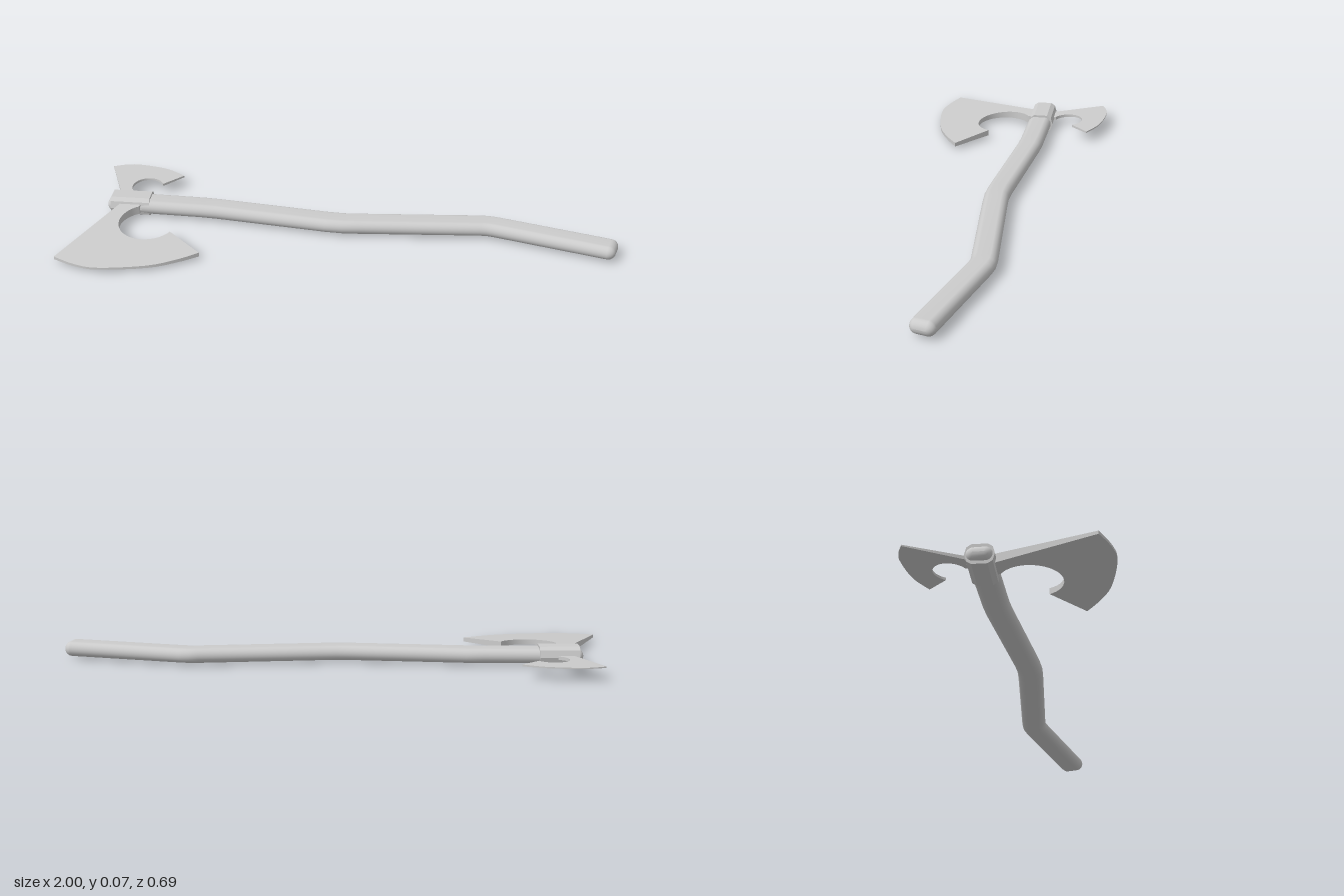
import * as THREE from 'three';
import { toCreasedNormals } from 'three/addons/utils/BufferGeometryUtils.js';

const material = new THREE.MeshStandardMaterial({ color: 0xcccccc });

function part(name, geometry) {
  const mesh = new THREE.Mesh(geometry, material);
  mesh.name = name;
  return mesh;
}

// Handle: a flattened round section swept along a bent path in the xz plane
function handleGeometry() {
  const flat = 0.0185, radius = 0.0275, height = 0.0355, sides = 24;
  const path = [[-0.888, -0.089], [-0.7, -0.082], [-0.53, -0.077], [-0.47, -0.072], [-0.06, -0.022], [0, -0.018],
    [0.06, -0.021], [0.5, -0.054], [0.53, -0.054], [0.56, -0.048], [0.99, 0.068]].map(p => new THREE.Vector2(...p));
  const last = path.length - 1;
  const dir = i => path[i + 1].clone().sub(path[i]).normalize();
  const rings = [];
  // domed start, body, domed end
  const dome = (tip, inward, tangent, k) => {
    const a = (k / 6) * Math.PI / 2;
    rings.push({ c: tip.clone().addScaledVector(inward, radius * (1 - Math.cos(a))), t: tangent, r: radius * Math.sin(a) });
  };
  const d0 = dir(0), d1 = dir(last - 1);
  for (let k = 0; k <= 6; k++) dome(path[0], d0, d0, k);
  for (let i = 1; i < last; i++) {
    rings.push({ c: path[i], t: dir(i - 1).add(dir(i)).normalize(), r: radius });
  }
  for (let k = 6; k >= 0; k--) dome(path[last], d1.clone().negate(), d1, k);

  const positions = [], index = [];
  for (const { c, t, r } of rings) {
    for (let j = 0; j < sides; j++) {
      const a = ((j + 0.5) / sides) * Math.PI * 2;
      const across = Math.sign(Math.cos(a)) * flat + Math.cos(a) * r;
      positions.push(c.x - t.y * across, height + Math.sin(a) * r, c.y + t.x * across);
    }
  }
  for (let i = 0; i < rings.length - 1; i++) {
    for (let j = 0; j < sides; j++) {
      const a = i * sides + j, b = i * sides + (j + 1) % sides;
      index.push(a, a + sides, b, b, a + sides, b + sides);
    }
  }
  const g = new THREE.BufferGeometry();
  g.setAttribute('position', new THREE.Float32BufferAttribute(positions, 3));
  g.setIndex(index);
  g.computeVertexNormals();
  return g;
}

// Blade: outline in (x, z) with a round notch, thinning toward its cutting edge
function bladeGeometry({ root, edge, notch, rootEnd, midY, half }) {
  const v = p => new THREE.Vector2(p[0], -p[1]);
  const curve = new THREE.SplineCurve(edge.map(v)).getPoints(20);
  const arc = [];
  for (let i = 0; i <= 24; i++) {
    const a = notch.from + (notch.to - notch.from) * i / 24;
    arc.push(v([notch.x + notch.r * Math.cos(a), notch.z + notch.r * Math.sin(a)]));
  }
  const shape = new THREE.Shape([v(root), ...curve, ...arc, v(rootEnd)]);
  const g = new THREE.ExtrudeGeometry(shape, { depth: 2, bevelEnabled: false });
  g.translate(0, 0, -1).rotateX(-Math.PI / 2);
  const p = g.attributes.position;
  for (let i = 0; i < p.count; i++) {
    const z = p.getZ(i);
    p.setY(i, midY(z) + Math.sign(p.getY(i)) * half(z));
  }
  return toCreasedNormals(g, 0.5);
}

// Collar: eight-sided band around the head of the handle
function collarGeometry() {
  const quarter = [[0.049, 0], [0.042, 0.025], [0.026, 0.0355]];
  const right = [...quarter.slice(1).reverse().map(([x, y]) => [x, -y]), ...quarter];
  const outline = [...right, ...right.slice().reverse().map(([x, y]) => [-x, y])];
  const shape = new THREE.Shape(outline.map(p => new THREE.Vector2(...p)));
  const g = new THREE.ExtrudeGeometry(shape, { depth: 0.145, bevelEnabled: false });
  g.rotateY(Math.PI / 2).translate(-0.873, 0.0355, -0.087);
  return toCreasedNormals(g, 0.2);
}

export function createModel() {
  const model = new THREE.Group();
  model.name = 'axe';
  model.add(part('handle', handleGeometry()));
  model.add(part('collar', collarGeometry()));
  model.add(part('mainBlade', bladeGeometry({
    root: [-0.83, -0.06],
    edge: [[-1, 0.294], [-0.92, 0.329], [-0.83, 0.343], [-0.66, 0.315], [-0.56, 0.27], [-0.49, 0.225]],
    notch: { x: -0.711, z: 0.06, r: 0.106, from: 0.5, to: 4.2 },
    rootEnd: [-0.755, -0.06],
    midY: z => 0.034 - 0.058 * z,
    half: z => 0.0147 - 0.031 * z,
  })));
  model.add(part('backBlade', bladeGeometry({
    root: [-0.843, -0.11],
    edge: [[-0.928, -0.326], [-0.88, -0.343], [-0.824, -0.347], [-0.717, -0.326], [-0.642, -0.283]],
    notch: { x: -0.765, z: -0.194, r: 0.059, from: -0.42, to: -4.2 },
    rootEnd: [-0.79, -0.11],
    midY: z => 0.026 - 0.067 * z,
    half: z => 0.0093 + 0.021 * z,
  })));
  return model;
}
